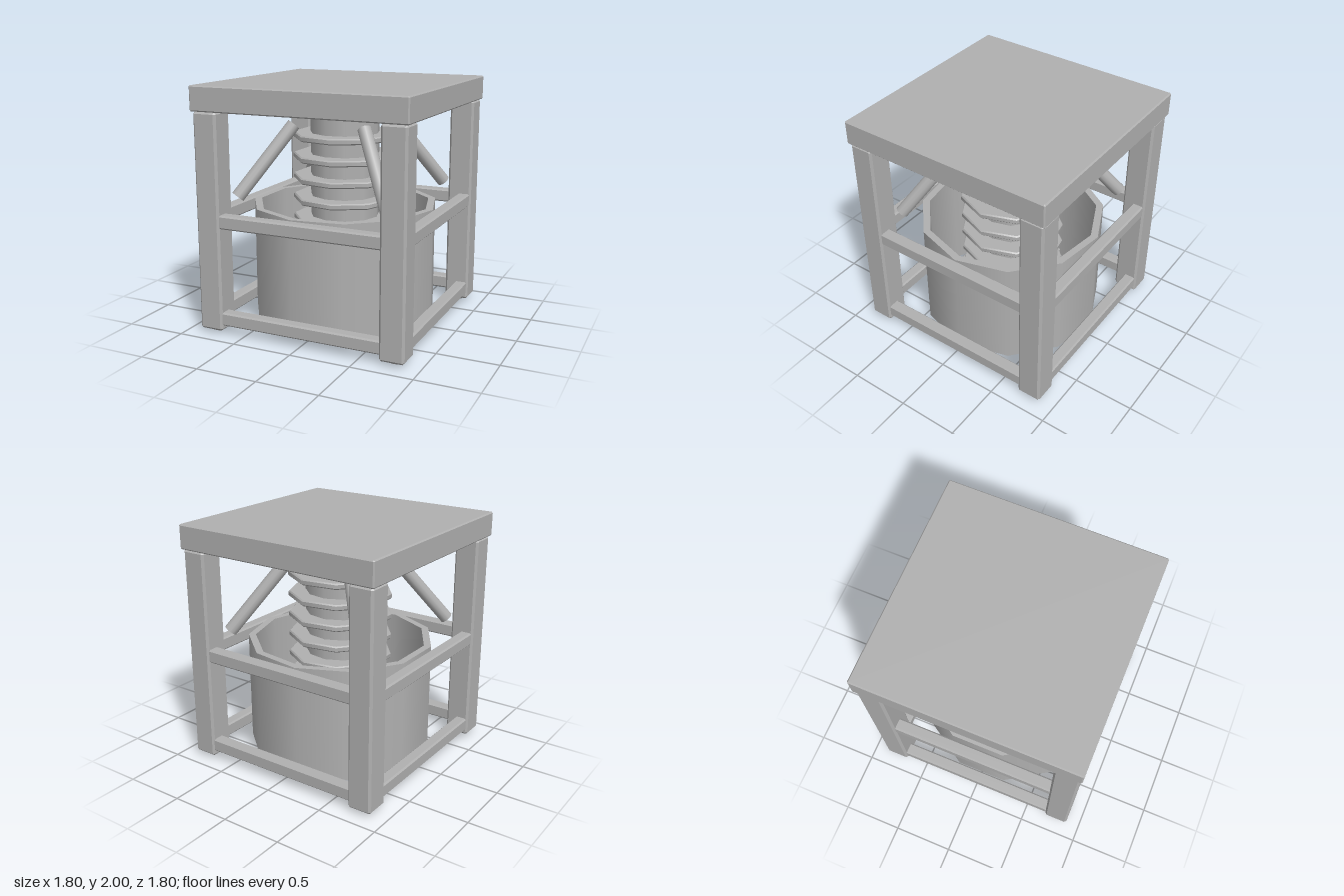
import * as THREE from 'three';
import { mergeGeometries } from 'three/addons/utils/BufferGeometryUtils.js';
import { ConvexGeometry } from 'three/addons/geometries/ConvexGeometry.js';

const grey = new THREE.MeshStandardMaterial({ color: 0xb0b0b0 });
grey.name = 'plain grey';

// Box with its twelve edges cut at 45 degrees
function chamferBox(w, h, d, c) {
  const [x, y, z] = [w / 2, h / 2, d / 2];
  const points = [];
  for (const i of [-1, 1]) for (const j of [-1, 1]) for (const k of [-1, 1]) {
    points.push(new THREE.Vector3(i * x, j * (y - c), k * (z - c)));
    points.push(new THREE.Vector3(i * (x - c), j * y, k * (z - c)));
    points.push(new THREE.Vector3(i * (x - c), j * (y - c), k * z));
  }
  return new ConvexGeometry(points);
}

// Turned part with a hard edge at every profile corner, one corner on +x
function turned(profile, sides) {
  const strips = [];
  for (let i = 0; i < profile.length - 1; i++) {
    const edge = [profile[i], profile[i + 1]].map(([r, y]) => new THREE.Vector2(r, y));
    strips.push(new THREE.LatheGeometry(edge, sides, Math.PI / 2));
  }
  return mergeGeometries(strips);
}

export function createModel() {
  const model = new THREE.Group();
  const add = (name, geometry, x = 0, y = 0, z = 0) => {
    const mesh = new THREE.Mesh(geometry, grey);
    mesh.name = name;
    mesh.position.set(x, y, z);
    model.add(mesh);
    return mesh;
  };

  // Top slab
  add('topSlab', chamferBox(1.8, 0.2, 1.8, 0.01), 0, 1.9, 0);

  // Corner posts, feet and diagonal struts
  const post = chamferBox(0.205, 1.77, 0.205, 0.018);
  const foot = chamferBox(0.08, 0.05, 0.08, 0.012);
  const strut = new THREE.CylinderGeometry(0.055, 0.055, 1, 12);
  for (const sx of [-1, 1]) for (const sz of [-1, 1]) {
    add('post', post, sx * 0.782, 0.915, sz * 0.782);
    add('foot', foot, sx * 0.782, 0.025, sz * 0.782);
    const low = new THREE.Vector3(sx * 0.645, 1.1, sz * 0.645);
    const high = new THREE.Vector3(sx * 0.31, 1.66, sz * 0.31);
    const dir = high.clone().sub(low);
    const brace = add('strut', strut);
    brace.position.copy(low).add(high).multiplyScalar(0.5);
    brace.scale.y = dir.length();
    brace.quaternion.setFromUnitVectors(new THREE.Vector3(0, 1, 0), dir.normalize());
  }

  // Rails on all four sides, at two heights
  const rail = chamferBox(1.4, 0.11, 0.1, 0.012);
  for (const y of [0.13, 0.935]) for (let side = 0; side < 4; side++) {
    const a = side * Math.PI / 2;
    add('rail', rail, Math.sin(a) * 0.82, y, Math.cos(a) * 0.82).rotation.y = a;
  }

  // Open tub
  const R = 0.775, r = 0.715, bottom = 0.06, top = 0.995;
  add('tub', turned([[R, bottom], [R, top], [r, top], [r, bottom], [R, bottom]], 11));

  // Slatted tub floor
  for (let i = -2; i <= 2; i++) {
    const z = i * 0.26;
    const length = 2 * Math.sqrt(0.68 ** 2 - (Math.abs(z) + 0.08) ** 2);
    add('floorSlat', chamferBox(length, 0.05, 0.17, 0.008), 0, 0.13, z);
  }

  // Central column with evenly spaced collars
  add('column', turned([[0, 0.16], [0.288, 0.16], [0.288, 1.81], [0, 1.81]], 11));
  const collar = turned([[0.27, -0.025], [0.42, -0.025], [0.43, -0.015], [0.43, 0.015],
    [0.42, 0.025], [0.27, 0.025]], 9);
  for (let i = 0; i < 8; i++) add('collar', collar, 0, 1.555 - i * 0.1735, 0);

  return model;
}
